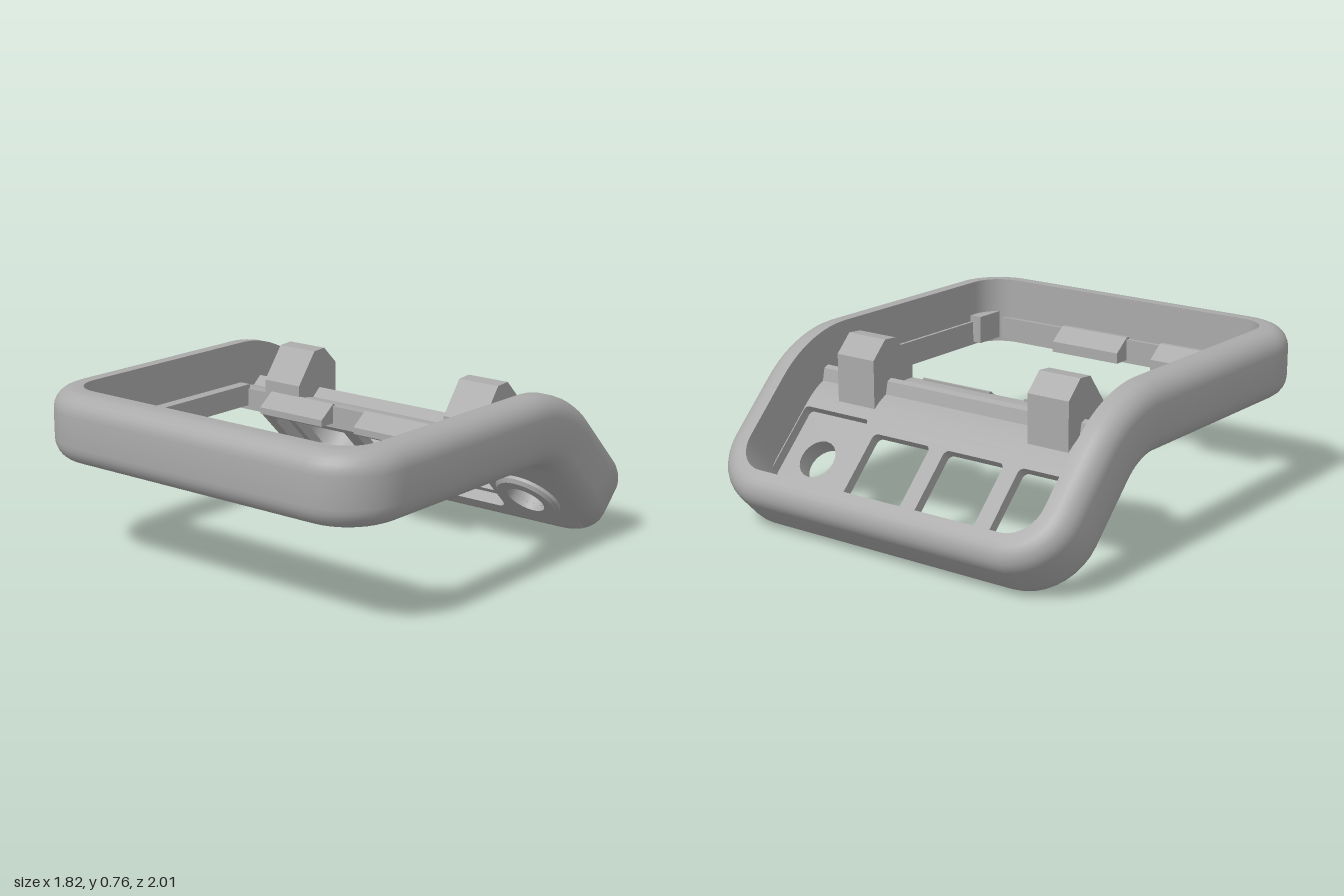
import * as THREE from 'three';
import { toCreasedNormals } from 'three/addons/utils/BufferGeometryUtils.js';

const grey = new THREE.MeshStandardMaterial({ color: 0xaaaaaa });
grey.name = 'grey plastic';

// The frame is laid out flat (y = height above underside), then its back is bent down 45 degrees
const BEND_Z = -0.22, R_IN = 0.28, ARC = 0.435 * Math.PI / 4, THICK = 0.31, BASE = 0.45;
function bend(geo) {
  const p = geo.attributes.position;
  for (let i = 0; i < p.count; i++) {
    const s = Math.max(0, BEND_Z - p.getZ(i)), y = p.getY(i);
    const a = Math.min(s, ARC) / 0.435, rest = Math.max(0, s - ARC) * Math.SQRT1_2;
    const z = s > 0 ? BEND_Z - (R_IN + y) * Math.sin(a) - rest : p.getZ(i);
    p.setXYZ(i, p.getX(i), BASE - R_IN + (R_IN + y) * Math.cos(a) - rest, z);
  }
  return geo;
}

// Rounded rectangle in plan (x, b), where b runs backwards, counterclockwise
function outline(inset) {
  const w = 0.91 - inset, front = -1 + inset, back = 1.136 - inset;
  const r = 0.27 - inset, pts = [], N = 9, SIDE = 48;
  const corner = (cx, cy, a0) => {
    for (let i = 0; i <= N; i++) {
      const a = a0 + (i / N) * Math.PI / 2;
      pts.push([cx + r * Math.cos(a), cy + r * Math.sin(a)]);
    }
  };
  const side = (x, y0, y1) => {
    for (let i = 1; i < SIDE; i++) pts.push([x, y0 + (y1 - y0) * i / SIDE]);
  };
  corner(w - r, front + r, -Math.PI / 2);
  side(w, front + r, back - r);
  corner(w - r, back - r, 0);
  corner(-w + r, back - r, Math.PI / 2);
  side(-w, back - r, front + r);
  corner(-w + r, front + r, Math.PI);
  return pts;
}

// Sweep of the rim section: rounded outside, square inside
function rimGeometry() {
  const e = 0.09, prof = [];
  for (let i = 0; i <= 6; i++) {
    const a = (i / 6) * Math.PI / 2;
    prof.push([e - e * Math.sin(a), e - e * Math.cos(a)]);
  }
  for (let i = 0; i <= 6; i++) {
    const a = (i / 6) * Math.PI / 2;
    prof.push([e - e * Math.cos(a), THICK - e + e * Math.sin(a)]);
  }
  prof.push([0.13, THICK], [0.13, 0]);
  const pos = [], idx = [], m = prof.length;
  let n = 0;
  for (const [d, h] of prof) {
    const loop = outline(d);
    n = loop.length;
    for (const [x, b] of loop) pos.push(x, h, -b);
  }
  for (let j = 0; j < m; j++) for (let i = 0; i < n; i++) {
    const a = j * n + i, b = j * n + (i + 1) % n;
    const c = ((j + 1) % m) * n + (i + 1) % n, d = ((j + 1) % m) * n + i;
    idx.push(a, b, c, a, c, d);
  }
  const g = new THREE.BufferGeometry();
  g.setAttribute('position', new THREE.Float32BufferAttribute(pos, 3));
  g.setIndex(idx);
  return bend(g);
}

function roundRect(x0, y0, x1, y1, r, Type = THREE.Path) {
  const s = new Type();
  s.moveTo(x0 + r, y0);
  s.lineTo(x1 - r, y0);
  s.absarc(x1 - r, y0 + r, r, -Math.PI / 2, 0);
  s.lineTo(x1, y1 - r);
  s.absarc(x1 - r, y1 - r, r, 0, Math.PI / 2);
  s.lineTo(x0 + r, y1);
  s.absarc(x0 + r, y1 - r, r, Math.PI / 2, Math.PI);
  s.lineTo(x0, y0 + r);
  s.absarc(x0 + r, y0 + r, r, Math.PI, Math.PI * 1.5);
  return s;
}

// Plate with holes in the sloping part, between two heights
function plate(holes, h0, h1) {
  const s = roundRect(-0.79, 0.562, 0.79, 1.03, 0.004, THREE.Shape);
  s.holes.push(...holes);
  const g = new THREE.ExtrudeGeometry(s, { depth: h1 - h0, bevelEnabled: false, curveSegments: 10 });
  g.rotateX(-Math.PI / 2).translate(0, h0, 0);
  return bend(g);
}

// Prism along x from a (z, y) outline
function prism(points, x0, x1) {
  const s = new THREE.Shape(points.map(([z, y]) => new THREE.Vector2(z, y)));
  const g = new THREE.ExtrudeGeometry(s, { depth: x1 - x0, bevelEnabled: false });
  return g.rotateY(-Math.PI / 2).translate(x1, 0, 0);
}

function box(x0, x1, y0, y1, z0, z1) {
  return new THREE.BoxGeometry(x1 - x0, y1 - y0, z1 - z0)
    .translate((x0 + x1) / 2, (y0 + y1) / 2, (z0 + z1) / 2);
}

export function createModel() {
  const group = new THREE.Group();
  group.name = 'bentFrame';
  const add = (name, geo) => {
    const mesh = new THREE.Mesh(toCreasedNormals(geo, 0.6), grey);
    mesh.name = name;
    group.add(mesh);
  };

  add('rim', rimGeometry());

  // Sloping floor: outer layer with long recess, inner layer with windows and pocket
  const knobX = 0.605, knobB = 0.796;
  const hole = new THREE.Path();
  hole.absarc(knobX, knobB, 0.09, 0, Math.PI * 2);
  add('floorOuterLayer', plate([roundRect(-0.8 + 0.02, 0.58, 0.4, 0.985, 0.05), hole], 0, 0.055));
  const windows = [-0.745, -0.355, 0.035].map(x => roundRect(x, 0.635, x + 0.31, 0.955, 0.025));
  add('floorInnerLayer', plate([...windows, roundRect(0.41, 0.58, 0.775, 1.0, 0.02)], 0.055, 0.1));

  // Curved floor through the bend
  add('floorBend', bend(new THREE.BoxGeometry(1.58, 0.1, 0.362, 1, 1, 16).translate(0, 0.05, -0.381)));

  // Raised collar round the hole on the underside
  const collar = [[0.09, -0.03], [0.14, -0.03], [0.155, -0.015], [0.155, 0.05], [0.09, 0.05], [0.09, -0.03]];
  add('holeCollar', bend(new THREE.LatheGeometry(
    collar.map(([x, y]) => new THREE.Vector2(x, y)), 40).translate(knobX, 0, -knobB)));

  // Cross ridge and two mounting blocks
  add('crossRidge', prism([[-0.275, 0.52], [-0.345, 0.58], [-0.37, 0.57], [-0.39, 0.48]], -0.79, 0.79));
  for (const x of [-0.515, 0.515]) {
    add('mountingBlock', prism([[-0.2, 0.5], [-0.2, 0.61], [-0.31, 0.755], [-0.38, 0.76],
      [-0.46, 0.68], [-0.46, 0.44]], x - 0.103, x + 0.103));
  }

  // Clip tabs on the front wall and cross beam
  for (const x of [-0.58, -0.025]) {
    add('frontTab', prism([[0.88, 0.47], [0.88, 0.58], [0.85, 0.58], [0.77, 0.52], [0.77, 0.47]], x, x + 0.37));
    add('rearTab', prism([[-0.21, 0.47], [-0.12, 0.47], [-0.12, 0.5], [-0.2, 0.56], [-0.21, 0.56]], x, x + 0.37));
  }

  // Inner ledges and corner stops
  add('rightLedge', box(-0.785, -0.725, 0.47, 0.57, -0.21, 0.87));
  add('frontLedge', box(-0.73, 0.72, 0.47, 0.57, 0.85, 0.88));
  add('leftLedge', box(0.765, 0.785, 0.47, 0.57, -0.21, 0.85));
  add('cornerStop', box(0.72, 0.785, 0.47, 0.6, -0.21, -0.04));
  add('cornerStop', box(0.72, 0.785, 0.47, 0.6, 0.69, 0.86));

  return group;
}
